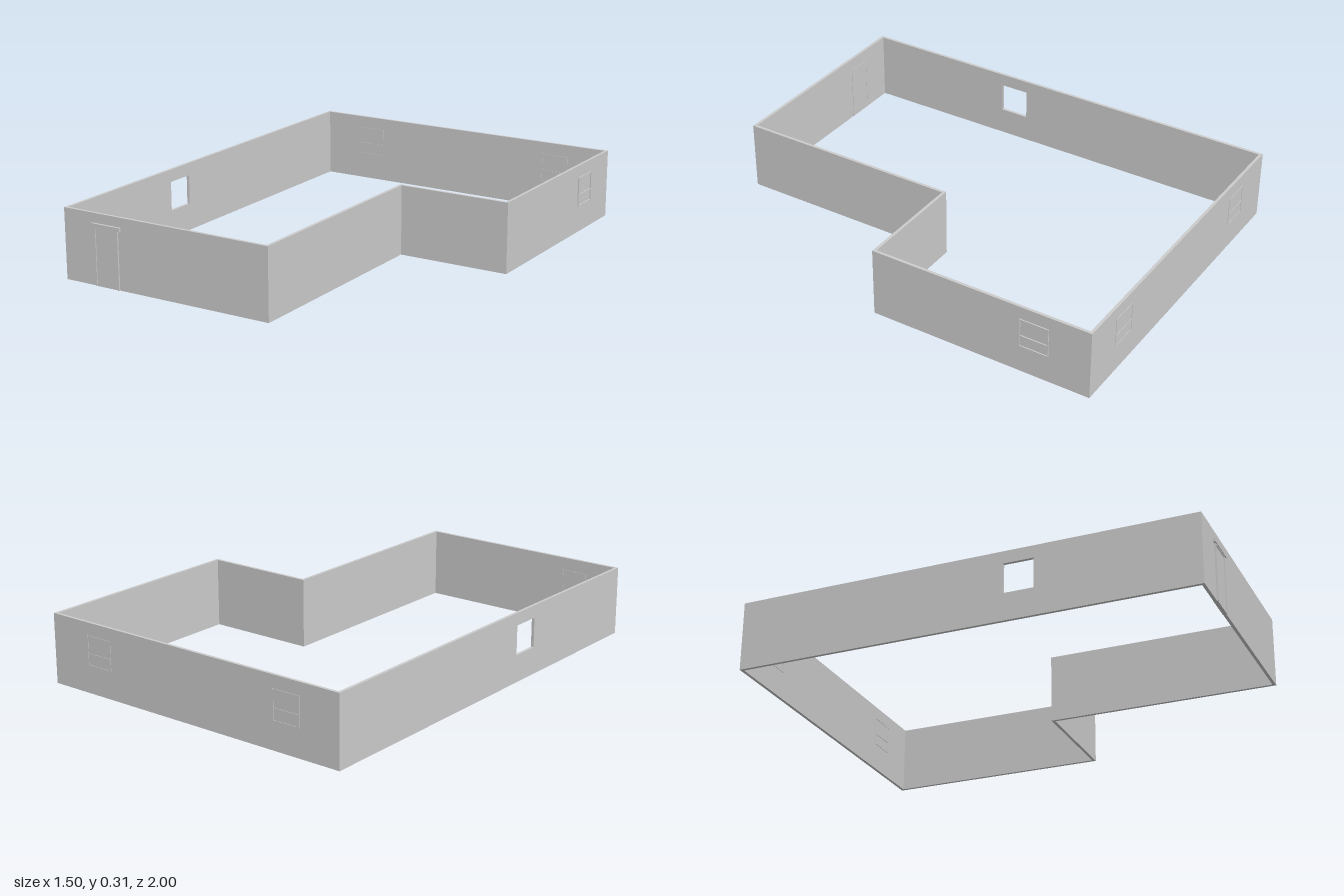
import * as THREE from 'three';

const T = 0.013; // wall thickness
const H = 0.305; // wall height
const X0 = -0.748, X1 = 0.742, XN = 0.243; // outer faces, XN = notch
const Z0 = -0.998, Z1 = 0.99, ZN = -0.004;
const SILL = 0.12, WIN = 0.13; // window sill height and size

const mat = new THREE.MeshStandardMaterial({ color: 0xcccccc, flatShading: true });

// box given by its lower and upper limits on each axis
function box(name, x0, x1, y0, y1, z0, z1) {
  const m = new THREE.Mesh(new THREE.BoxGeometry(x1 - x0, y1 - y0, z1 - z0), mat);
  m.name = name;
  m.position.set((x0 + x1) / 2, (y0 + y1) / 2, (z0 + z1) / 2);
  return m;
}

function rect(path, x0, x1, y0, y1) {
  path.moveTo(x0, y0);
  path.lineTo(x1, y0);
  path.lineTo(x1, y1);
  path.lineTo(x0, y1);
  path.closePath();
  return path;
}

// upright panel with a rectangular opening, in the xy plane
function openPanel(name, outer, inner, depth) {
  const shape = rect(new THREE.Shape(), ...outer);
  shape.holes.push(rect(new THREE.Path(), ...inner));
  const m = new THREE.Mesh(new THREE.ExtrudeGeometry(shape, { depth, bevelEnabled: false }), mat);
  m.name = name;
  return m;
}

// window frame with a crossbar, centred on its depth
function makeWindow(name, depth) {
  const g = new THREE.Group();
  g.name = name;
  const h = WIN / 2, b = 0.004;
  const frame = openPanel('windowFrame', [-h, h, 0, WIN], [-h + b, h - b, b, WIN - b], depth);
  frame.position.z = -depth / 2;
  g.add(frame, box('crossbar', -h + b, h - b, 0.05, 0.054, -depth / 2, depth / 2));
  return g;
}

export function createModel() {
  const model = new THREE.Group();
  model.name = 'lShapedWalls';

  // solid walls around the L-shaped plan
  model.add(
    box('backWall', X0, X1, 0, H, Z0, Z0 + T),
    box('leftWall', X1 - T, X1, 0, H, Z0 + T, ZN),
    box('notchWall', XN - T, X1 - T, 0, H, ZN - T, ZN),
    box('notchSideWall', XN - T, XN, 0, H, ZN, Z1),
    box('frontWall', X0, XN - T, 0, H, Z1 - T, Z1),
  );

  // long wall with an open window
  const long = openPanel('rightWall', [Z0 + T, Z1 - T, 0, H], [0.175, 0.305, SILL, SILL + WIN], T);
  long.rotation.y = -Math.PI / 2; // local x runs along +z
  long.position.x = X0 + T;
  model.add(long);

  // windows in the back wall
  for (const x of [-0.495, 0.485]) {
    const w = makeWindow('backWindow', T + 0.004);
    w.position.set(x, SILL, Z0 + T / 2);
    model.add(w);
  }

  // window in the short side wall, standing proud outside
  const side = makeWindow('sideWindow', T + 0.004);
  side.rotation.y = Math.PI / 2;
  side.position.set(X1 - T / 2 + 0.003, SILL, -0.75);
  model.add(side);

  // door with frame and lintel
  const door = new THREE.Group();
  door.name = 'door';
  const zi = Z1 - T - 0.002, zo = Z1 + 0.007;
  door.add(
    box('doorLeaf', -0.586, -0.479, 0, 0.243, zi + 0.001, Z1 + 0.003),
    box('doorJamb', -0.591, -0.586, 0, 0.248, zi, zo),
    box('doorJamb', -0.479, -0.474, 0, 0.248, zi, zo),
    box('doorHead', -0.586, -0.479, 0.243, 0.248, zi, zo),
    box('lintel', -0.605, -0.46, 0.248, 0.264, Z1 - 0.004, 1),
  );
  model.add(door);

  return model;
}
